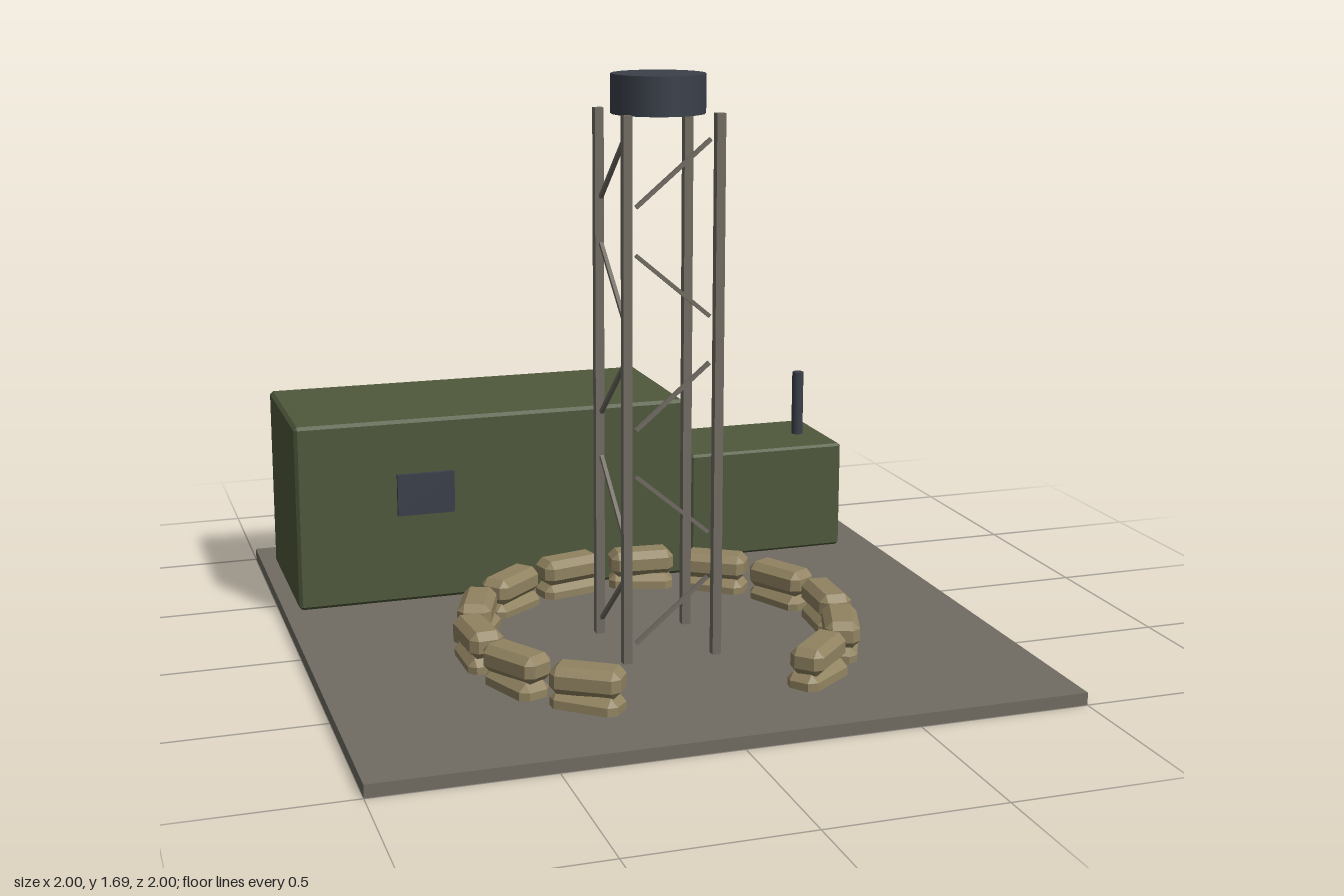
import * as THREE from 'three';
import { ConvexGeometry } from 'three/addons/geometries/ConvexGeometry.js';

const makeMaterial = (name, color, flatShading = true) => {
  const m = new THREE.MeshStandardMaterial({ color, flatShading });
  m.name = name;
  return m;
};

// Box with every edge and corner chamfered by c
function chamferBox(w, h, d, c) {
  const points = [];
  for (const sx of [-1, 1]) for (const sy of [-1, 1]) for (const sz of [-1, 1]) {
    const x = w / 2, y = h / 2, z = d / 2;
    points.push(
      new THREE.Vector3(sx * x, sy * (y - c), sz * (z - c)),
      new THREE.Vector3(sx * (x - c), sy * y, sz * (z - c)),
      new THREE.Vector3(sx * (x - c), sy * (y - c), sz * z));
  }
  return new ConvexGeometry(points);
}

export function createModel() {
  const model = new THREE.Group();
  model.name = 'fieldRadarPost';
  const concrete = makeMaterial('concrete grey', 0x716c63);
  const green = makeMaterial('olive green', 0x4f583c);
  const canvas = makeMaterial('sand canvas', 0x918361);
  const dark = makeMaterial('dark slate', 0x3a404a, false);

  const add = (parent, name, geometry, material, x, y, z) => {
    const mesh = new THREE.Mesh(geometry, material);
    mesh.name = name;
    mesh.position.set(x, y, z);
    parent.add(mesh);
    return mesh;
  };
  const group = (name) => {
    const g = new THREE.Group();
    g.name = name;
    model.add(g);
    return g;
  };

  // Ground slab
  add(model, 'groundSlab', new THREE.BoxGeometry(2, 0.036, 2), concrete, 0, 0.018, 0);

  // Shelter with a vent panel on its front wall
  const shelter = group('shelter');
  add(shelter, 'shelterBody', chamferBox(1.24, 0.577, 0.525, 0.01), green, -0.335, 0.3255, -0.58);
  add(shelter, 'ventPanel', new THREE.BoxGeometry(0.178, 0.13, 0.014), dark, -0.557, 0.38, -0.312);

  // Generator with exhaust stack
  const generator = group('generator');
  add(generator, 'generatorBody', chamferBox(0.53, 0.352, 0.35, 0.008), green, 0.622, 0.214, -0.625);
  add(generator, 'exhaustStack', new THREE.CylinderGeometry(0.019, 0.019, 0.25, 10), dark, 0.8, 0.48, -0.625);

  // Lattice mast: four square posts
  const mast = group('mast');
  const midZ = 0.265, half = 0.134;
  const postGeometry = new THREE.BoxGeometry(0.026, 1.555, 0.026);
  for (const sx of [-1, 1]) for (const sz of [-1, 1])
    add(mast, 'mastPost', postGeometry, concrete, sx * half, 0.8125, midZ + sz * half);

  // Zigzag braces on the front and right faces
  const run = 0.215, rise = 0.18;
  const braceGeometry = new THREE.BoxGeometry(Math.hypot(run, rise), 0.011, 0.011);
  const slope = Math.atan2(rise, run);
  for (let i = 0; i < 5; i++) {
    const y = 0.18 + i * 0.3125;
    const angle = i % 2 ? -slope : slope;
    add(mast, 'frontBrace', braceGeometry, concrete, 0, y, midZ + half).rotation.z = angle;
    const side = add(mast, 'sideBrace', braceGeometry, concrete, -half, y, midZ);
    side.rotation.set(0, -Math.PI / 2, angle);
  }

  // Sensor drum on top of the mast
  add(mast, 'sensorDrum', new THREE.CylinderGeometry(0.133, 0.133, 0.11, 20), dark, 0, 1.637, midZ);

  // Two courses of sandbags in a ring, open toward the front
  const sandbags = group('sandbagRing');
  const bagGeometry = chamferBox(0.2, 0.078, 0.1, 0.021);
  const step = Math.PI * 2 / 14, radius = 0.535;
  const yaw = [-6, -5, -4, -6, -3, -1, -8, -6, -3, 3, -6, -6];
  yaw.forEach((turn, i) => {
    const a = Math.PI / 2 + step * (i + 1.5);
    for (const course of [0, 1]) {
      const bag = add(sandbags, course ? 'upperSandbag' : 'lowerSandbag', bagGeometry, canvas,
        Math.cos(a) * radius, course ? 0.115 : 0.04, midZ + Math.sin(a) * radius);
      const degrees = course ? turn : 3 * Math.sin(i * 2.3) + 2;
      bag.rotation.y = -(a + Math.PI / 2) - THREE.MathUtils.degToRad(degrees);
      if (!course) bag.rotateX(0.05 * Math.sin(i * 1.7 + 1));
    }
  });

  return model;
}
